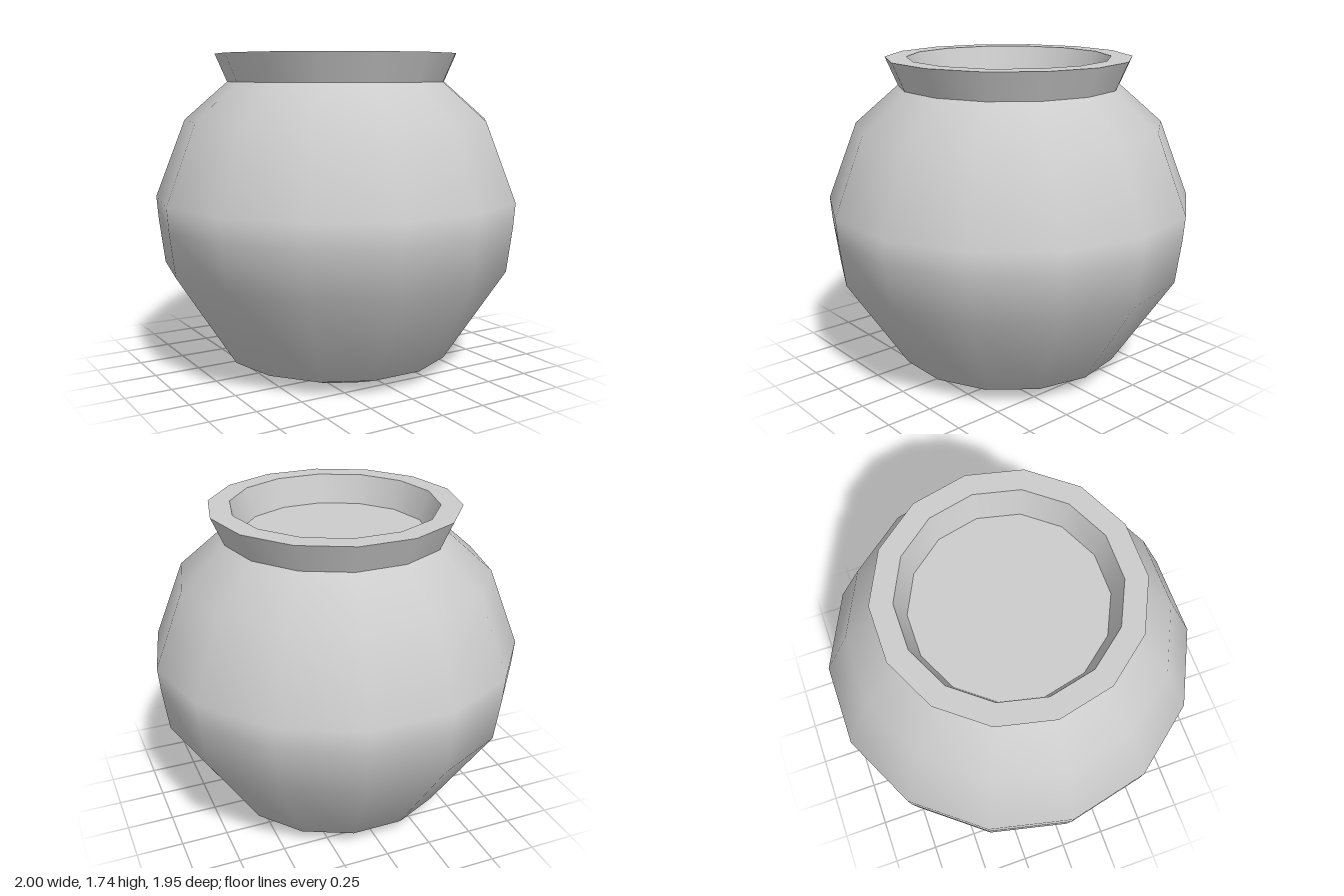
import * as THREE from 'three';

const SIDES = 14;

export function createModel() {
  const pot = new THREE.Group();
  pot.name = 'pot';

  const clay = new THREE.MeshStandardMaterial({ color: 0xcccccc });
  clay.name = 'grey clay';

  // Turns a [radius, height] profile; each strip is smooth, separate strips meet at sharp edges
  const turn = (name, profile) => {
    const points = profile.map(([r, y]) => new THREE.Vector2(r, y));
    const mesh = new THREE.Mesh(new THREE.LatheGeometry(points, SIDES, Math.PI / 2), clay);
    mesh.name = name;
    pot.add(mesh);
  };

  // Rounded belly with its underside
  turn('body', [
    [0, 0], [0.42, 0], [0.63, 0.08], [0.96, 0.59], [0.99, 0.83],
    [1, 0.96], [0.835, 1.38], [0.6, 1.585],
  ]);

  // Flared collar around the mouth
  turn('collar', [[0.6, 1.585], [0.665, 1.735]]);
  turn('lip', [[0.665, 1.735], [0.55, 1.735]]);
  turn('innerWall', [[0.55, 1.735], [0.5, 1.58]]);

  // Flat surface closing the mouth
  turn('mouthFloor', [[0.5, 1.58], [0, 1.58]]);

  return pot;
}
